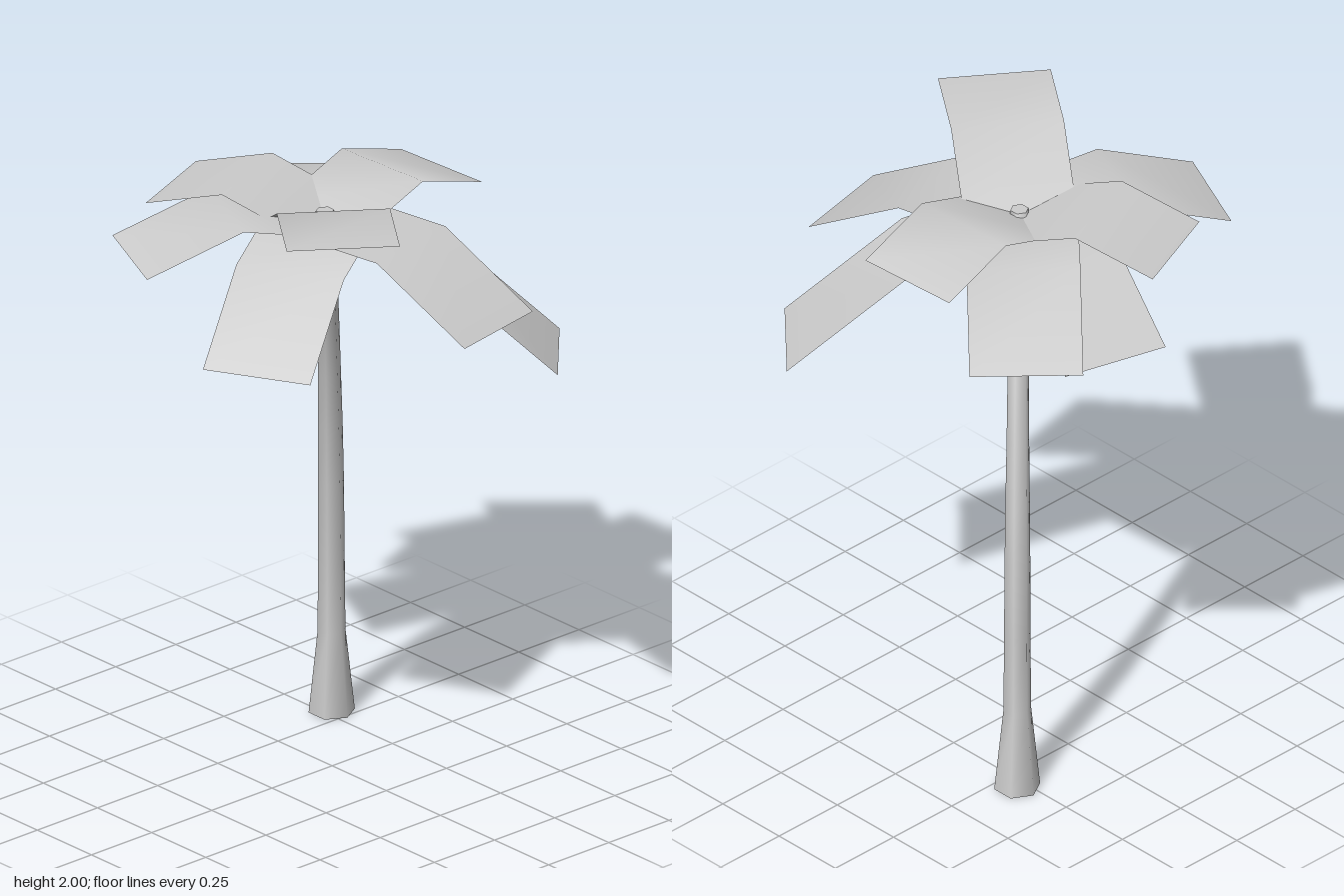
import * as THREE from 'three';
import { mergeVertices } from 'three/addons/utils/BufferGeometryUtils.js';

const grey = new THREE.MeshStandardMaterial({ color: 0xcccccc, side: THREE.DoubleSide });
grey.name = 'grey';

const CROWN = new THREE.Vector3(-0.007, 1.855, -0.032);
const HALF_WIDTH = 0.176;

// Trunk rings: height, centre x, radius (it leans equally along x and z)
const RINGS = [
  [0, 0.277, 0.073], [0.28, 0.268, 0.044], [0.55, 0.261, 0.042], [0.8, 0.245, 0.041],
  [1.0, 0.221, 0.039], [1.2, 0.188, 0.036], [1.4, 0.144, 0.034], [1.65, 0.073, 0.032], [1.875, -0.005, 0.029],
];

// Fronds: tip x, tip z, tip height, fold height
const FRONDS = [
  ['rightFrond', 0.51, -0.0625, 1.86, 1.945],
  ['backFrond', -0.2025, -0.52, 1.865, 1.945],
  ['raisedFrond', -0.3425, 0.4325, 2.0, 2.0],
  ['frontFrond', 0.125, 0.63, 1.65, 1.848],
  ['lowLeftFrond', -0.55, 0.2625, 1.57, 1.795],
  ['leftBackFrond', -0.58, -0.29, 1.8, 1.918],
  ['rightBackFrond', 0.455, -0.535, 1.71, 1.88],
  ['lowBackFrond', 0.16, -0.626, 1.67, 1.855],
  ['droopingFrond', 0.525, 0.4625, 1.4, 1.73],
];

// Drop seams so the normals run smoothly across the whole surface
function smooth(geometry) {
  geometry.deleteAttribute('uv');
  geometry.deleteAttribute('normal');
  const merged = mergeVertices(geometry, 1e-4);
  merged.computeVertexNormals();
  return merged;
}

function trunkGeometry() {
  const last = RINGS.length - 1;
  const geometry = new THREE.CylinderGeometry(1, 1, 1, 6, last, true);
  const p = geometry.attributes.position;
  for (let i = 0; i < p.count; i++) {
    const [y, x, r] = RINGS[Math.round((p.getY(i) + 0.5) * last)];
    p.setXYZ(i, x + p.getX(i) * r, y, -x - 0.033 + p.getZ(i) * r);
  }
  return smooth(geometry);
}

// A strip of constant width with one cross fold halfway along
function frondGeometry(tipX, tipZ, tipY, foldY) {
  const dx = tipX - CROWN.x, dz = tipZ - CROWN.z;
  const length = Math.hypot(dx, dz);
  const heights = [CROWN.y, foldY, tipY];
  const geometry = new THREE.PlaneGeometry(1, 1, 1, 2);
  const p = geometry.attributes.position;
  for (let i = 0; i < p.count; i++) {
    const t = p.getY(i) + 0.5;
    const side = Math.sign(p.getX(i)) * HALF_WIDTH / length;
    p.setXYZ(i, CROWN.x + dx * t - dz * side, heights[Math.round(t * 2)], CROWN.z + dz * t + dx * side);
  }
  return smooth(geometry);
}

export function createModel() {
  const model = new THREE.Group();
  model.name = 'palmTree';
  const add = (name, geometry) => {
    const mesh = new THREE.Mesh(geometry, grey);
    mesh.name = name;
    model.add(mesh);
    return mesh;
  };

  add('trunk', trunkGeometry());

  // Flat hexagonal end of the trunk above the fronds
  const [topY, topX, topR] = RINGS[RINGS.length - 1];
  const cap = add('trunkTop', new THREE.CircleGeometry(topR, 6, Math.PI / 2).rotateX(-Math.PI / 2));
  cap.position.set(topX, topY, -topX - 0.033);

  for (const [name, ...shape] of FRONDS) add(name, frondGeometry(...shape));
  return model;
}
